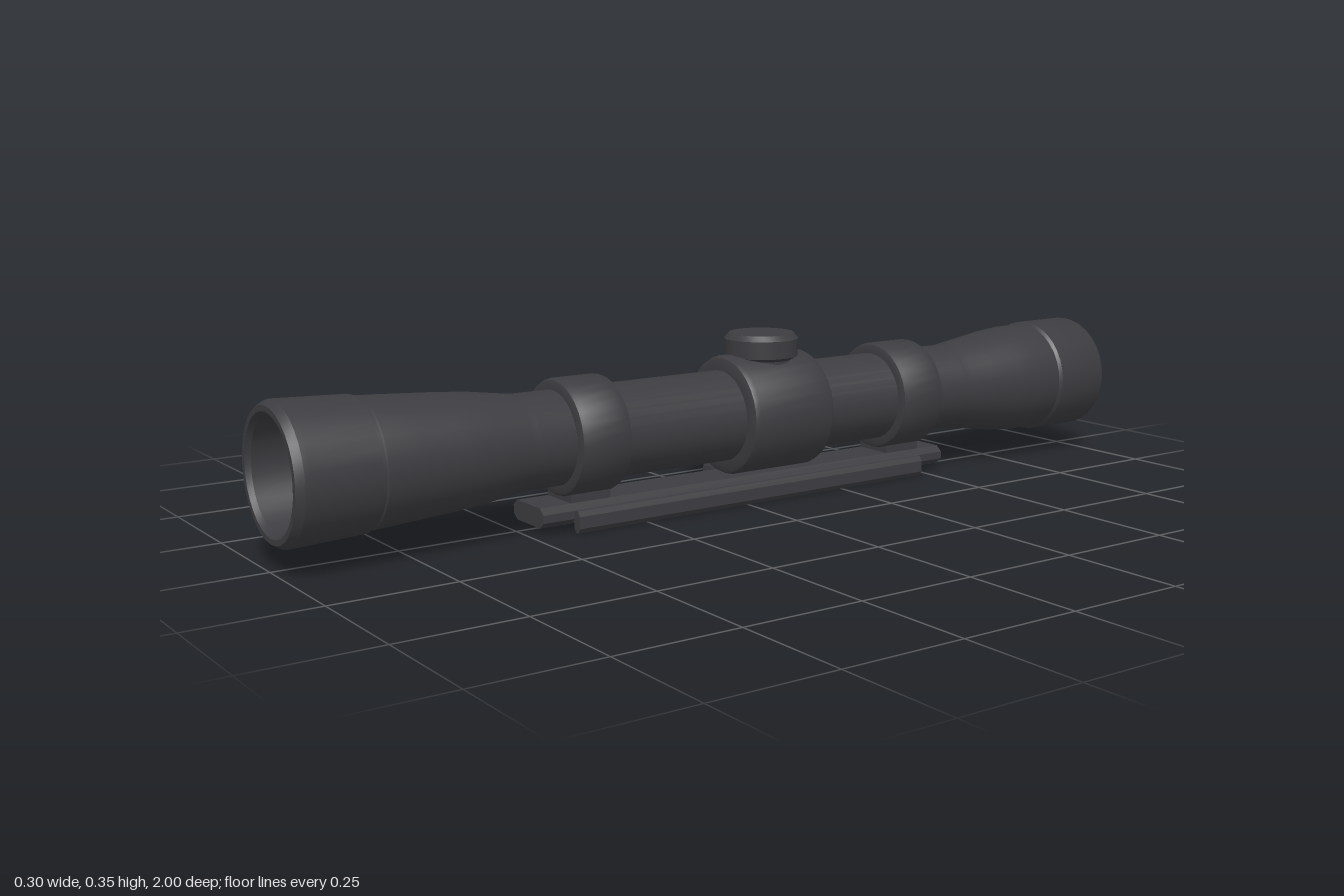
import * as THREE from 'three';
import { toCreasedNormals } from 'three/addons/utils/BufferGeometryUtils.js';

const AXIS_X = 0.014, AXIS_Y = 0.183, TURRET_Z = -0.085;

export function createModel() {
  const group = new THREE.Group();
  group.name = 'rifleScope';
  const black = new THREE.MeshStandardMaterial({ color: 0x3d3d41 });
  black.name = 'matte black';

  const add = (name, geometry, parent = group) => {
    const mesh = new THREE.Mesh(toCreasedNormals(geometry, 0.5), black);
    mesh.name = name;
    parent.add(mesh);
    return mesh;
  };
  // Turned solid: profile is [radius, height] from bottom to top
  const turned = (profile, segments = 32) =>
    new THREE.LatheGeometry(profile.map(([r, h]) => new THREE.Vector2(r, h)), segments);

  // Everything turned around the sight line, running along z
  const optics = new THREE.Group();
  optics.name = 'optics';
  optics.position.set(AXIS_X, AXIS_Y, 0);
  group.add(optics);
  const alongZ = (name, profile) => add(name, turned(profile).rotateX(Math.PI / 2), optics);

  // Main body: closed eyepiece, tube, flared objective bell and hollow mouth
  alongZ('mainTube', [
    [0, -1], [0.124, -1], [0.127, -0.994], [0.127, -0.865], [0.122, -0.858],
    [0.121, -0.79], [0.117, -0.745], [0.106, -0.67], [0.098, -0.615], [0.095, -0.59],
    [0.095, 0.5], [0.097, 0.52], [0.109, 0.6], [0.115, 0.67], [0.121, 0.76], [0.125, 0.825],
    [0.122, 0.828], [0.122, 0.834], [0.129, 0.837], [0.135, 0.975], [0.135, 0.985],
    [0.126, 1], [0.115, 1], [0.109, 0.99], [0.106, 0.87], [0.092, 0.87],
  ]);
  // Objective lens
  alongZ('frontLens', [[0.093, 0.869], [0.091, 0.873], [0, 0.873]]);

  // Collar with chamfered rims
  const collar = (name, z0, z1, r, c) => alongZ(name, [
    [0.09, z0], [r - c, z0], [r - c * 0.3, z0 + c * 0.3], [r, z0 + c],
    [r, z1 - c], [r - c * 0.3, z1 - c * 0.3], [r - c, z1], [0.09, z1],
  ]);
  collar('turretHousing', -0.19, 0.02, 0.125, 0.014);
  collar('frontRing', 0.308, 0.422, 0.117, 0.01);
  collar('rearRing', -0.502, -0.388, 0.117, 0.01);

  // Adjustment turrets on the top and on the right side
  const turretProfile = [
    [0.066, 0.08], [0.066, 0.112], [0.077, 0.119], [0.078, 0.156], [0.068, 0.167], [0, 0.167],
  ];
  add('topTurret', turned(turretProfile), optics).position.z = TURRET_Z;
  add('sideTurret', turned(turretProfile).rotateZ(Math.PI / 2), optics).position.z = TURRET_Z;

  // Chamfered bar lying along z
  const bar = (name, x, y, w, h, z0, z1, cx, cy) => {
    const a = w / 2, b = h / 2;
    const shape = new THREE.Shape([
      [-a, -b + cy], [-a + cx, -b], [a - cx, -b], [a, -b + cy],
      [a, b - cy], [a - cx, b], [-a + cx, b], [-a, b - cy],
    ].map(([px, py]) => new THREE.Vector2(px, py)));
    const geometry = new THREE.ExtrudeGeometry(shape, { depth: z1 - z0, bevelEnabled: false });
    add(name, geometry).position.set(x, y, z0);
  };
  // Mount: plate, clamp rails and feet under the rings
  bar('mountPlate', AXIS_X, 0.038, 0.118, 0.04, -0.55, 0.48, 0.014, 0.012);
  for (const [name, side] of [['leftRail', 1], ['rightRail', -1]]) {
    bar(name, AXIS_X + side * 0.067, 0.025, 0.022, 0.044, -0.475, 0.41, 0.007, 0.01);
  }
  for (const [name, z] of [['frontFoot', 0.365], ['rearFoot', -0.445]]) {
    bar(name, AXIS_X, 0.066, 0.09, 0.035, z - 0.045, z + 0.045, 0.004, 0.004);
  }

  // Clamp knob on the right rail
  const knob = turned([[0, 0], [0.028, 0], [0.031, 0.004], [0.031, 0.052], [0.028, 0.056], [0, 0.056]], 20);
  add('clampKnob', knob.rotateZ(Math.PI / 2)).position.set(-0.048, 0.043, -0.045);

  return group;
}
